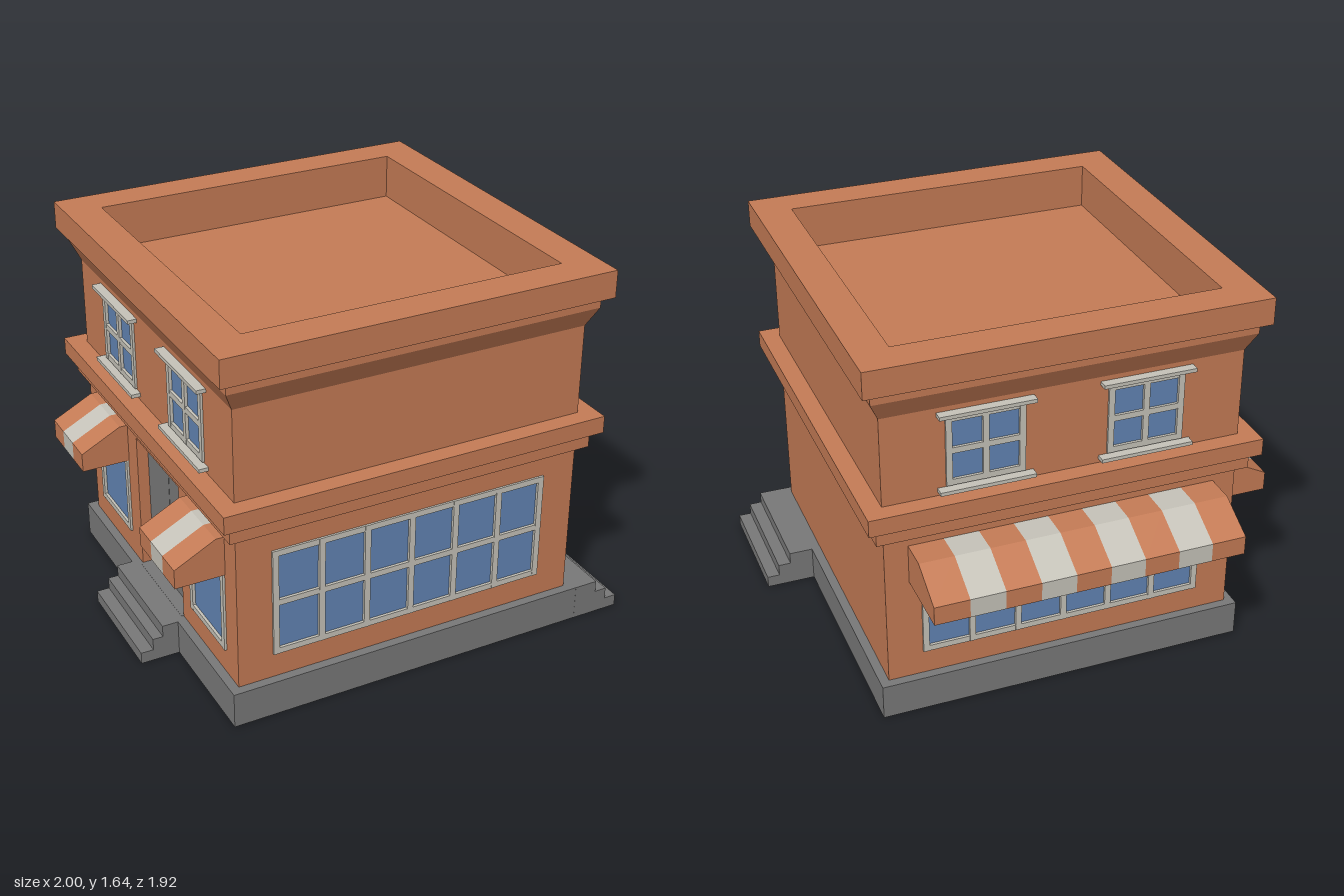
import * as THREE from 'three';

const material = (name, color) =>
  new THREE.MeshStandardMaterial({ name, color, side: THREE.DoubleSide });
const brick = material('brick', 0xc67c56);
const cream = material('cream', 0xc7c4ba);
const stone = material('stone', 0x797979);
const glass = material('glass', 0x6285b5);

const HALF = 0.768; // half width of the square building
const BASE = 0.807; // half width of the plinth
const FLOOR = 0.155;

function add(parent, name, geometry, mat, x = 0, y = 0, z = 0) {
  const mesh = new THREE.Mesh(geometry, mat);
  mesh.name = name;
  mesh.position.set(x, y, z);
  parent.add(mesh);
  return mesh;
}

function box(parent, name, mat, w, h, d, x, y, z) {
  return add(parent, name, new THREE.BoxGeometry(w, h, d), mat, x, y, z);
}

function faceted(geometry) {
  const flat = geometry.toNonIndexed();
  flat.computeVertexNormals();
  return flat;
}

// Square moulding swept around the building from [half width, height] points
function squareRing(parent, name, mat, profile) {
  const points = profile.map(([r, y]) => new THREE.Vector2(r * Math.SQRT2, y));
  add(parent, name, faceted(new THREE.LatheGeometry(points, 4, Math.PI / 4)), mat);
}

// Flat wall between two heights, with rectangular openings {x, y0, y1, w}
function wallPanel(parent, name, y0, y1, openings) {
  const rect = (path, xa, ya, xb, yb) =>
    path.moveTo(xa, ya).lineTo(xb, ya).lineTo(xb, yb).lineTo(xa, yb).closePath();
  const shape = new THREE.Shape();
  rect(shape, -HALF, y0, HALF, y1);
  for (const o of openings) {
    const hole = new THREE.Path();
    rect(hole, o.x - o.w / 2, o.y0, o.x + o.w / 2, o.y1);
    shape.holes.push(hole);
  }
  add(parent, name, new THREE.ShapeGeometry(shape), brick);
}

// Framed window with a grid of panes
function makeWindow(parent, o) {
  const group = new THREE.Group();
  group.name = 'window';
  const h = o.y1 - o.y0, bar = 0.026;
  group.position.set(o.x, (o.y0 + o.y1) / 2, 0);
  box(group, 'glass', glass, o.w, h, 0.006, 0, 0, -0.006);
  for (let i = 0; i <= o.cols; i++) {
    const x = (i / o.cols - 0.5) * (o.w - bar);
    box(group, 'uprightBar', cream, bar, h, 0.02, x, 0, 0);
  }
  for (let j = 0; j <= o.rows; j++) {
    const y = (j / o.rows - 0.5) * (h - bar);
    box(group, 'crossBar', cream, o.w, bar, 0.018, 0, y, 0);
  }
  // ledges above and below the upper windows
  if (o.ledges) for (const y of [-h / 2 - 0.014, h / 2 + 0.012])
    box(group, 'ledge', cream, 0.4, 0.016, 0.04, 0, y, 0.02);
  parent.add(group);
}

// Striped awning, open underneath, with closed ends
function makeAwning(parent, x, width, reach, flat, stripes) {
  const group = new THREE.Group();
  group.name = 'awning';
  group.position.x = x;
  const profile = [[0, 0.795], [flat, 0.795], [reach, 0.705], [reach, 0.622]];
  const step = width / stripes;
  for (let i = 0; i < stripes; i++) {
    const strip = new THREE.PlaneGeometry(step, 1, 1, 3);
    const pos = strip.attributes.position;
    for (let v = 0; v < pos.count; v++) {
      const [z, y] = profile[Math.floor(v / 2)];
      pos.setXYZ(v, pos.getX(v), y, z);
    }
    add(group, 'awningStripe', faceted(strip), i % 2 ? cream : brick, (i + 0.5) * step - width / 2);
  }
  const end = new THREE.Shape([...profile, [0, 0.622]].map(p => new THREE.Vector2(...p)));
  for (const side of [-1, 1]) {
    const mesh = add(group, 'awningEnd', new THREE.ShapeGeometry(end), brick, side * width / 2);
    mesh.rotation.y = -Math.PI / 2;
  }
  parent.add(group);
}

// Three steps, the top one first; each reaches further out
function makeSteps(parent, x, width, reaches) {
  reaches.forEach((r, i) => {
    const h = FLOOR * (3 - i) / 3;
    box(parent, 'step', stone, width, h, r, x, h / 2, BASE + r / 2);
  });
}

// Recessed double door
function makeDoor(parent, o) {
  const group = new THREE.Group();
  group.name = 'door';
  const depth = 0.05, h = o.y1 - o.y0, mid = (o.y0 + o.y1) / 2;
  for (const s of [-1, 1]) {
    box(group, 'doorJamb', brick, 0.01, h, depth, s * (o.w / 2 + 0.005), mid, -depth / 2 - 0.001);
    box(group, 'doorLeaf', stone, o.w / 2 - 0.003, h, 0.02, s * o.w / 4, mid, -depth - 0.01);
    box(group, 'doorHandle', stone, 0.012, 0.06, 0.015, s * 0.025, mid - 0.02, -depth + 0.006);
  }
  box(group, 'doorHead', brick, o.w, 0.01, depth, 0, o.y1 + 0.005, -depth / 2 - 0.001);
  box(group, 'doorSeam', stone, 0.01, h, 0.006, 0, mid, -depth - 0.015);
  box(group, 'threshold', stone, o.w, 0.01, depth + 0.02, 0, FLOOR - 0.004, -depth / 2);
  parent.add(group);
}

export function createModel() {
  const model = new THREE.Group();
  model.name = 'cornerShop';
  const building = new THREE.Group();
  building.name = 'building';
  building.position.set(-0.0225, 0, 0.1125);
  model.add(building);

  // Plinth, middle band, and cornice with sunken roof
  squareRing(building, 'plinth', stone, [[BASE, 0], [BASE, FLOOR], [HALF, FLOOR]]);
  squareRing(building, 'middleBand', brick, [
    [HALF, 0.85], [0.807, 0.85], [0.807, 0.925], [0.846, 0.925], [0.846, 1], [HALF, 1],
  ]);
  squareRing(building, 'corniceAndRoof', brick, [
    [HALF, 1.39], [0.807, 1.475], [0.807, 1.525], [0.846, 1.525], [0.846, 1.642],
    [0.69, 1.642], [0.69, 1.45], [0, 1.45],
  ]);

  // Openings on each side, measured from the middle of the wall
  const shopWindow = { x: 0, w: 1.235, y0: 0.265, y1: 0.745, cols: 6, rows: 2 };
  const upper = [-0.34, 0.34].map(x =>
    ({ x, w: 0.33, y0: 1.04, y1: 1.35, cols: 2, rows: 2, ledges: true }));
  const small = [-0.495, 0.495].map(x =>
    ({ x, w: 0.335, y0: 0.265, y1: 0.745, cols: 1, rows: 1 }));
  const door = { x: 0, w: 0.45, y0: FLOOR, y1: 0.78 };

  const sides = [
    { name: 'frontSide', turn: 0, ground: [shopWindow], upper: [] },
    { name: 'leftSide', turn: Math.PI / 2, ground: [], upper: [] },
    { name: 'backSide', turn: Math.PI, ground: [shopWindow], upper },
    { name: 'rightSide', turn: -Math.PI / 2, ground: small, upper, door },
  ];
  const walls = {};
  for (const s of sides) {
    const side = walls[s.name] = new THREE.Group();
    side.name = s.name;
    side.rotation.y = s.turn;
    building.add(side);
    const face = new THREE.Group(); // origin on the wall surface
    face.name = 'wall';
    face.position.z = HALF;
    side.add(face);
    side.userData.face = face;
    wallPanel(face, 'groundWall', FLOOR, 0.85, s.door ? [...s.ground, { ...s.door, y0: FLOOR + 0.001 }] : s.ground);
    wallPanel(face, 'upperWall', 1, 1.39, s.upper);
    [...s.ground, ...s.upper].forEach(o => makeWindow(face, o));
    if (s.door) makeDoor(face, s.door);
  }

  // Awnings and steps
  makeAwning(walls.backSide.userData.face, 0, 1.335, 0.305, 0.13, 9);
  for (const o of small) makeAwning(walls.rightSide.userData.face, o.x, 0.345, 0.21, 0.035, 3);
  makeSteps(walls.rightSide, 0, 0.51, [0.07, 0.115, 0.17]);
  makeSteps(walls.leftSide, -0.5325, 0.55, [0.105, 0.16, 0.215]);
  return model;
}
